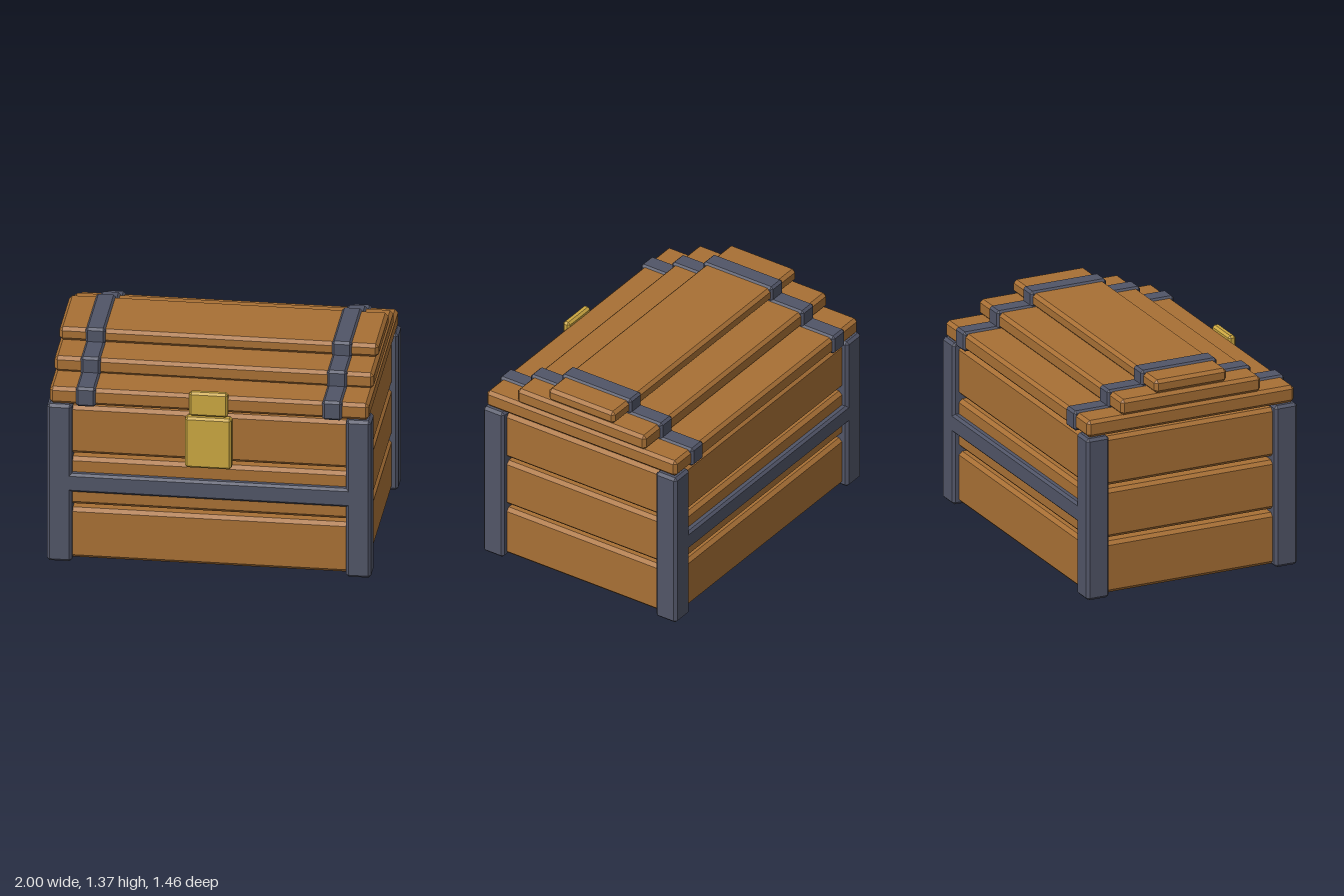
import * as THREE from 'three';
import { ConvexGeometry } from 'three/addons/geometries/ConvexGeometry.js';

const material = (name, color) => {
  const m = new THREE.MeshStandardMaterial({ color });
  m.name = name;
  return m;
};

// Box between two corners with every edge chamfered by b
function chamferBox([x0, y0, z0], [x1, y1, z1], b) {
  const h = [(x1 - x0) / 2, (y1 - y0) / 2, (z1 - z0) / 2];
  const points = [];
  for (const sx of [-1, 1]) for (const sy of [-1, 1]) for (const sz of [-1, 1]) {
    for (let face = 0; face < 3; face++) {
      const inset = h.map((v, i) => (i === face ? v : v - b));
      points.push(new THREE.Vector3(sx * inset[0], sy * inset[1], sz * inset[2]));
    }
  }
  return new ConvexGeometry(points).translate((x0 + x1) / 2, (y0 + y1) / 2, (z0 + z1) / 2);
}

export function createModel() {
  const wood = material('wood', 0xa87035);
  const iron = material('iron', 0x515567);
  const brass = material('brass', 0xcba741);
  const chest = new THREE.Group();
  chest.name = 'chest';
  const add = (name, mat, min, max, bevel) => {
    const mesh = new THREE.Mesh(chamferBox(min, max, bevel), mat);
    mesh.name = name;
    chest.add(mesh);
  };

  // Body: three stacked boards with gaps between them
  for (const [y0, y1] of [[0.012, 0.347], [0.372, 0.69], [0.715, 1.035]]) {
    add('bodyBoard', wood, [-0.96, y0, -0.685], [0.96, y1, 0.675], 0.022);
  }

  // Iron frames, front and back: two corner posts joined by a crossbar
  for (const [side, z0, z1] of [['front', 0.56, 0.715], ['back', -0.725, -0.57]]) {
    add(side + 'RightPost', iron, [-1, 0, z0], [-0.845, 1.057, z1], 0.017);
    add(side + 'LeftPost', iron, [0.845, 0, z0], [1, 1.057, z1], 0.017);
    add(side + 'Crossbar', iron, [-0.9, 0.472, z0], [0.9, 0.595, z1], 0.015);
  }

  // Lid: three stepped boards, each wrapped by two straps
  const steps = [
    [1.058, 1.168, -0.712, 0.702],
    [1.165, 1.268, -0.482, 0.472],
    [1.27, 1.357, -0.252, 0.24],
  ];
  for (const [y0, y1, z0, z1] of steps) {
    add('lidBoard', wood, [-0.985, y0, z0], [0.985, y1, z1], 0.02);
    for (const x of [-0.76, 0.76]) {
      add('lidStrap', iron, [x - 0.062, y0 - 0.006, z0 - 0.013], [x + 0.062, y1 + 0.012, z1 + 0.013], 0.015);
    }
  }

  // Brass clasp on the lid and lock plate on the body
  add('clasp', brass, [-0.12, 1.037, 0.68], [0.118, 1.197, 0.73], 0.014);
  add('lockPlate', brass, [-0.145, 0.687, 0.665], [0.141, 1.027, 0.73], 0.014);

  return chest;
}
